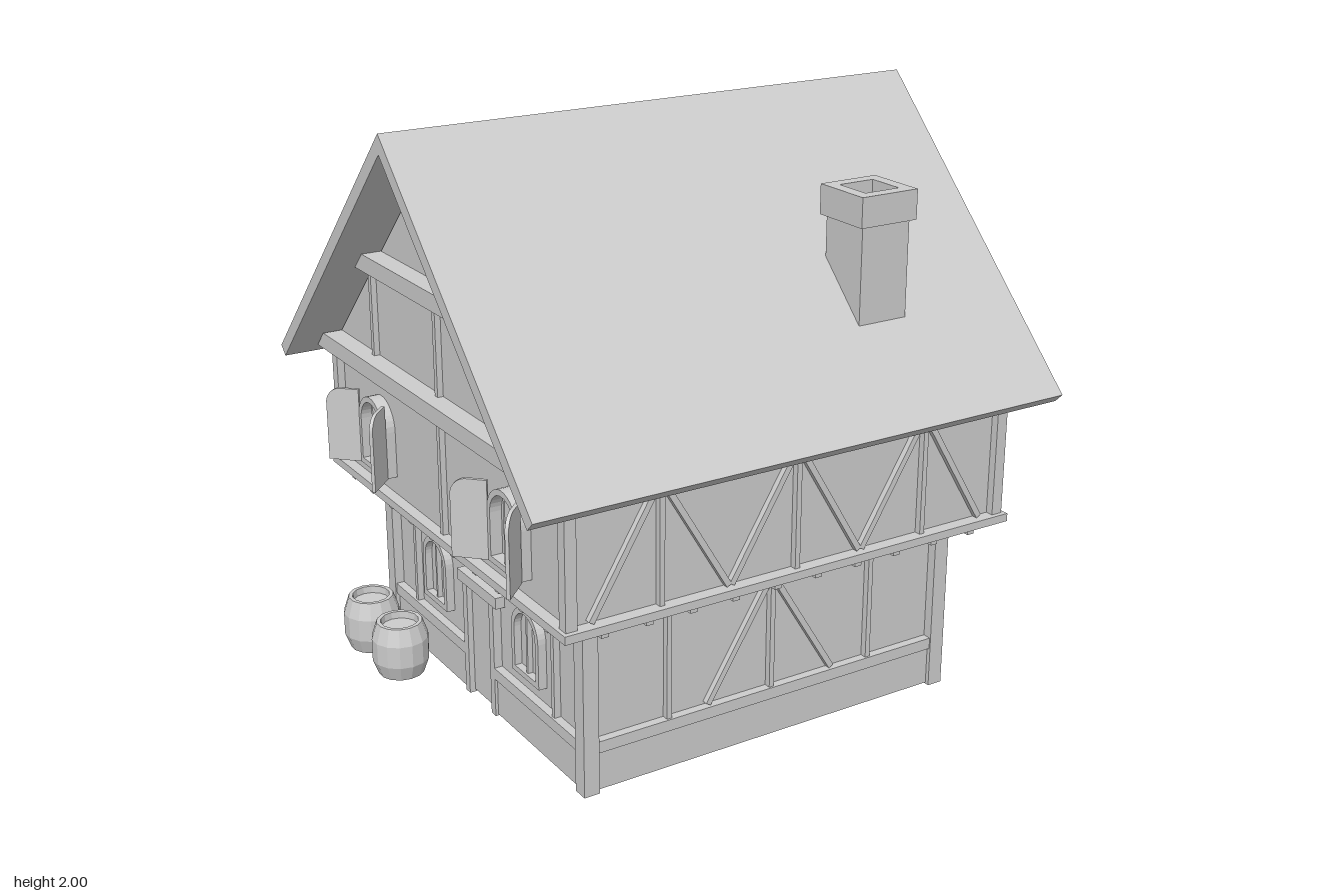
import * as THREE from 'three';

const stone = new THREE.MeshStandardMaterial({ color: 0xcccccc });
stone.name = 'paleGrey';
const stoneFlat = stone;

function add(parent, name, geometry) {
  const mesh = new THREE.Mesh(geometry, stoneFlat);
  mesh.name = name;
  parent.add(mesh);
  return mesh;
}

// Box given by its limits on each axis
function box(parent, name, x0, x1, y0, y1, z0, z1) {
  const m = add(parent, name, new THREE.BoxGeometry(x1 - x0, y1 - y0, z1 - z0));
  m.position.set((x0 + x1) / 2, (y0 + y1) / 2, (z0 + z1) / 2);
  return m;
}

// Flat outline pushed out along z from z0 to z1
function plate(parent, name, points, z0, z1) {
  const shape = points instanceof THREE.Shape ? points
    : new THREE.Shape(points.map(p => new THREE.Vector2(p[0], p[1])));
  const g = new THREE.ExtrudeGeometry(shape, { depth: z1 - z0, bevelEnabled: false, curveSegments: 8 });
  g.translate(0, 0, z0);
  return add(parent, name, g);
}

// Slanted timber between two points on a wall
function brace(parent, x0, y0, x1, y1, z0, z1, width = 0.02) {
  const m = add(parent, 'brace', new THREE.BoxGeometry(Math.hypot(x1 - x0, y1 - y0), width, z1 - z0));
  m.position.set((x0 + x1) / 2, (y0 + y1) / 2, (z0 + z1) / 2);
  m.rotation.z = Math.atan2(y1 - y0, x1 - x0);
}

function archShape(c, w, y0, y1) {
  const r = w / 2, s = new THREE.Shape();
  s.moveTo(c - r, y0);
  s.lineTo(c + r, y0);
  s.lineTo(c + r, y1 - r);
  s.absarc(c, y1 - r, r, 0, Math.PI, false);
  s.closePath();
  return s;
}

// Arched frame around a recessed pane
function archWindow(parent, c, w, y0, y1, z0, z1) {
  const s = archShape(c, w, y0, y1);
  s.holes.push(archShape(c, w - 0.04, y0 + 0.02, y1 - 0.02));
  plate(parent, 'windowFrame', s, z0, z1);
  plate(parent, 'windowPane', archShape(c, w - 0.03, y0 + 0.01, y1 - 0.01), z0, z0 + 0.009);
  box(parent, 'windowBar', c - 0.005, c + 0.005, y0, y1 - 0.01, z0, z1 - 0.008);
}

function shutter(parent, c, side) {
  const w = 0.12, r = 0.055, y0 = 0.72, y1 = 0.985;
  const s = new THREE.Shape();
  s.moveTo(0, y0);
  s.lineTo(w, y0);
  s.lineTo(w, y1 - r);
  s.absarc(w - r, y1 - r, r, 0, Math.PI / 2, false);
  s.lineTo(0, y1);
  s.closePath();
  const leaf = plate(parent, 'shutter', s, -0.006, 0.006);
  leaf.position.set(c + side * 0.1, 0, 0.85);
  leaf.rotation.y = side > 0 ? -Math.PI / 4 : -Math.PI * 0.75;
}

// Parts shared by all four sides; each side is built facing +z
function wallSide(parent, name, angle, entrance) {
  const g = new THREE.Group();
  g.name = name;
  g.rotation.y = angle;
  parent.add(g);
  box(g, 'lowerWall', -0.68, 0.68, 0.01, 0.63, 0.655, 0.68);
  box(g, 'lowerTopBeam', -0.69, 0.69, 0.57, 0.628, 0.66, 0.71);
  const spans = entrance ? [[-0.68, -0.11], [0.11, 0.68]] : [[-0.68, 0.68]];
  for (const [a, b] of spans) {
    box(g, 'plinth', a, b, 0.005, 0.14, 0.65, 0.7);
    box(g, 'plinthBeam', a, b, 0.14, 0.18, 0.64, 0.71);
  }
  // Joist ends with a sloped underside
  for (let i = 0; i < 10; i++) {
    const x = -0.705 + i * 0.1567;
    const joist = plate(g, 'joist', [[0.66, 0.58], [0.76, 0.58], [0.8, 0.607], [0.835, 0.607],
      [0.835, 0.63], [0.66, 0.63]], -0.013, 0.013);
    joist.rotation.y = -Math.PI / 2;
    joist.position.x = x;
  }
  return g;
}

function longSide(parent, name, angle) {
  const g = wallSide(parent, name, angle, false);
  for (const x of [-0.395, 0, 0.395]) box(g, 'lowerStud', x - 0.009, x + 0.009, 0.18, 0.57, 0.67, 0.703);
  for (const x of [-0.5, 0, 0.5]) {
    box(g, 'upperStud', x - 0.009, x + 0.009, 0.65, 1.06, 0.8, 0.828);
    for (const s of [-1, 1]) brace(g, x + s * 0.01, 1.05, x + s * 0.245, 0.66, 0.8, 0.825);
  }
  for (const s of [-1, 1]) brace(g, s * 0.01, 0.565, s * 0.245, 0.185, 0.67, 0.7);
  box(g, 'wallPlate', -0.83, 0.83, 1.05, 1.1, 0.79, 0.83);
}

function gableSide(parent, name, angle, entrance) {
  const g = wallSide(parent, name, angle, entrance);
  plate(g, 'gableBeam', [[-0.855, 1.075], [0.855, 1.075], [0.797, 1.133], [-0.797, 1.133]], 0.8, 0.88);
  plate(g, 'collarBeam', [[-0.482, 1.45], [0.482, 1.45], [0.423, 1.509], [-0.423, 1.509]], 0.8, 0.88);
  for (const x of [-0.485, 0, 0.485]) box(g, 'gableStud', x - 0.01, x + 0.01, 1.13, 1.45, 0.8, 0.83);
  if (!entrance) {
    for (const x of [-0.485, 0, 0.485]) box(g, 'upperStud', x - 0.01, x + 0.01, 0.65, 1.08, 0.8, 0.83);
    for (const x of [-0.395, 0, 0.395]) box(g, 'lowerStud', x - 0.009, x + 0.009, 0.18, 0.57, 0.67, 0.703);
    for (const s of [-1, 1]) {
      brace(g, 0, 0.655, s * 0.48, 1.075, 0.8, 0.825);
      brace(g, 0, 1.075, s * 0.48, 0.655, 0.8, 0.822);
    }
    return;
  }
  // Door, arched windows and open shutters
  box(g, 'upperStud', -0.01, 0.01, 0.65, 1.08, 0.8, 0.83);
  box(g, 'door', -0.08, 0.08, 0.01, 0.41, 0.645, 0.69);
  for (const s of [-1, 1]) {
    box(g, 'doorPost', s * 0.095 - 0.015, s * 0.095 + 0.015, 0, 0.41, 0.64, 0.71);
    archWindow(g, s * 0.33, 0.18, 0.24, 0.49, 0.675, 0.71);
    plate(g, 'innerPane', archShape(s * 0.33, 0.15, 0.255, 0.475), 0.649, 0.656);
    box(g, 'lowerStud', s * 0.5 - 0.009, s * 0.5 + 0.009, 0.18, 0.57, 0.67, 0.703);
    archWindow(g, s * 0.48, 0.2, 0.72, 0.985, 0.805, 0.855);
    shutter(g, s * 0.48, 1);
    shutter(g, s * 0.48, -1);
  }
  box(g, 'doorLintel', -0.14, 0.14, 0.41, 0.45, 0.64, 0.714);
}

// Open barrel with recessed lid and base
function barrel(parent, x, z) {
  const profile = [[0, 0.03], [0.064, 0.03], [0.068, 0.01], [0.08, 0.01], [0.1, 0.065], [0.1, 0.145],
    [0.08, 0.205], [0.066, 0.205], [0.064, 0.18], [0, 0.18]];
  const g = new THREE.LatheGeometry(profile.map(p => new THREE.Vector2(p[0], p[1])), 14).toNonIndexed();
  g.computeVertexNormals();
  add(parent, 'barrel', g).position.set(x, 0, z);
}

export function createModel() {
  const house = new THREE.Group();
  house.name = 'timberHouse';

  longSide(house, 'frontSide', 0);
  longSide(house, 'backSide', Math.PI);
  gableSide(house, 'leftSide', Math.PI / 2, false);
  gableSide(house, 'entranceSide', -Math.PI / 2, true);

  // Corner posts
  for (const x of [-1, 1]) for (const z of [-1, 1]) {
    const lower = box(house, 'lowerPost', -0.0275, 0.0275, 0, 0.628, -0.0275, 0.0275);
    lower.position.x = x * 0.6875;
    lower.position.z = z * 0.6875;
    const upper = box(house, 'upperPost', -0.02, 0.02, 0.65, 1.1, -0.02, 0.02);
    upper.position.x = x * 0.817;
    upper.position.z = z * 0.813;
  }

  // Upper floor and the storey with its gables
  box(house, 'upperFloor', -0.85, 0.85, 0.627, 0.655, -0.85, 0.85);
  const upper = plate(house, 'upperStorey', [[-0.805, 0.65], [0.805, 0.65], [0.805, 1.125], [0, 1.93],
    [-0.805, 1.125]], -0.81, 0.81);
  upper.rotation.y = Math.PI / 2;

  // Roof
  const roof = plate(house, 'roof', [[0, 2], [-0.925, 1.073], [-0.893, 1.042], [0, 1.935],
    [0.893, 1.042], [0.925, 1.073]], -0.988, 0.988);
  roof.rotation.y = Math.PI / 2;

  // Chimney with an open flue
  const flue = (name, r, y0, y1) => {
    const sq = q => [[-q, -q], [q, -q], [q, q], [-q, q]].map(p => new THREE.Vector2(...p));
    const s = new THREE.Shape(sq(r));
    s.holes.push(new THREE.Path(sq(0.066)));
    const m = plate(house, name, s, y0, y1);
    m.rotation.x = -Math.PI / 2;
    m.position.set(0.44, 0, 0.56);
  };
  flue('chimneyStack', 0.093, 1.3, 1.675);
  flue('chimneyCap', 0.109, 1.67, 1.77);

  barrel(house, -0.847, -0.58);
  barrel(house, -0.847, -0.34);
  return house;
}
